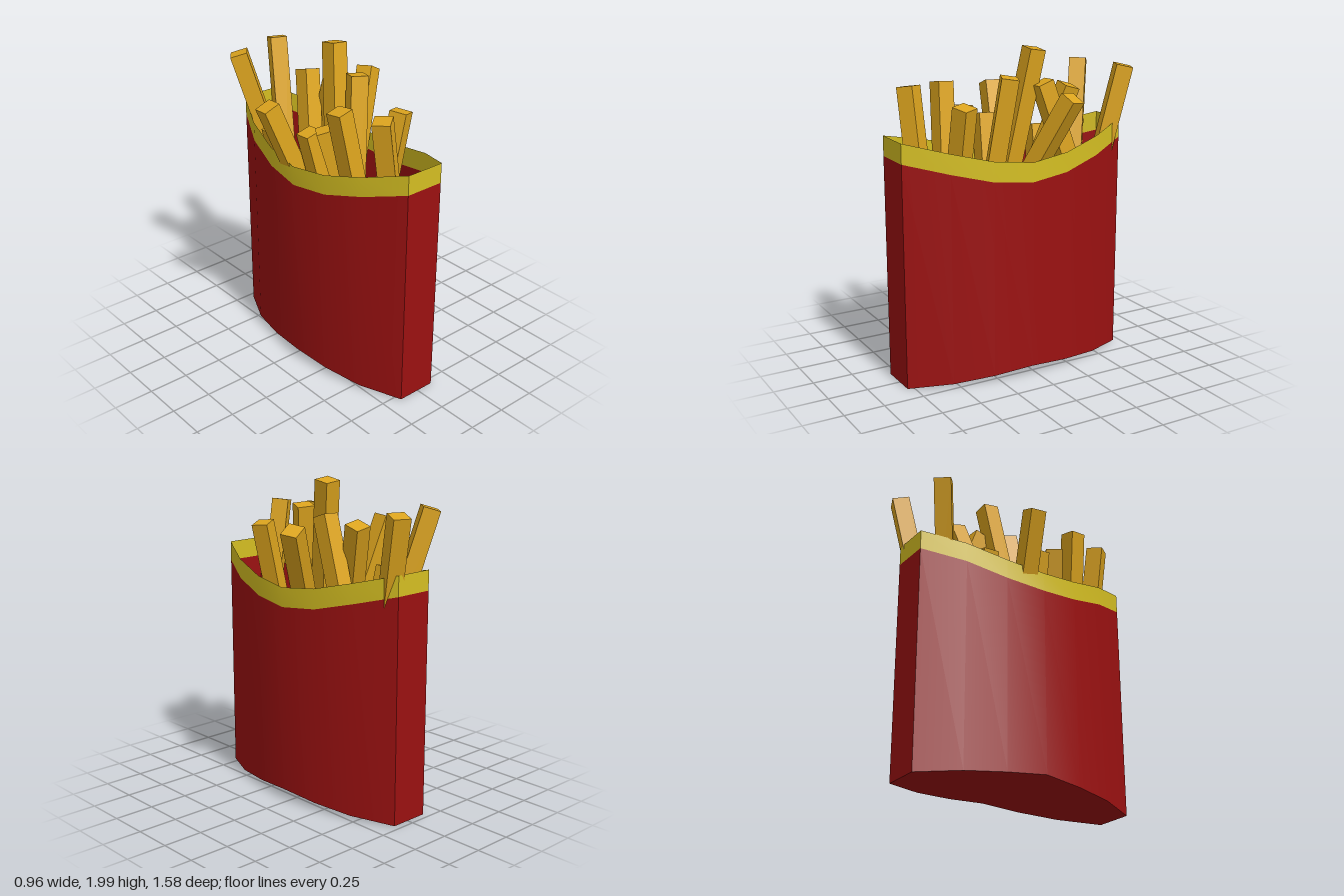
import * as THREE from 'three';
import { toCreasedNormals } from 'three/addons/utils/BufferGeometryUtils.js';

const CX = -0.012, CZ = 0.04; // centre of the carton in plan

// Stations along the carton: z offset, half width, heights of floor, band and rim
const half = [
  [0, 0.335, 0.065, 1.23, 1.35],
  [0.25, 0.307, 0.043, 1.255, 1.378],
  [0.5, 0.247, 0.022, 1.318, 1.44],
  [0.75, 0.125, 0, 1.383, 1.505],
];
const stations = [
  ...half.slice(1).reverse().map(([z, ...rest]) => [-z, ...rest]),
  ...half,
];
const ring = [
  ...stations.map(([z, w, ...y]) => ({ x: CX + w, z: CZ + z, y })),
  ...[...stations].reverse().map(([z, w, ...y]) => ({ x: CX - w, z: CZ + z, y })),
];

const material = (color, side = THREE.FrontSide) => new THREE.MeshStandardMaterial({ color, side });

function quadMesh(name, quads, mat) {
  const pos = [];
  for (const [a, b, c, d] of quads) pos.push(...a, ...b, ...c, ...a, ...c, ...d);
  const geo = new THREE.BufferGeometry();
  geo.setAttribute('position', new THREE.Float32BufferAttribute(pos, 3));
  geo.computeVertexNormals();
  const mesh = new THREE.Mesh(toCreasedNormals(geo, 0.6), mat);
  mesh.name = name;
  return mesh;
}

// Wall strip around the ring between two of its height levels
function wall(name, lo, hi, mat) {
  const at = (p, level) => [p.x, p.y[level], p.z];
  return quadMesh(name, ring.map((p, i) => {
    const q = ring[(i + 1) % ring.length];
    return [at(p, lo), at(p, hi), at(q, hi), at(q, lo)];
  }), mat);
}

// Fries: top centre, bottom centre, roll about the long axis
const fries = [
  [[0.13, 1.84, -0.72], [0.01, 0.55, -0.44], -0.4],
  [[-0.235, 1.84, -0.625], [-0.03, 0.95, -0.45], -0.65],
  [[-0.23, 1.45, -0.3], [-0.04, 0.6, -0.26], 0],
  [[0.08, 1.74, -0.35], [-0.08, 0.95, -0.1], 0],
  [[0.13, 1.78, -0.13], [0.17, 0.95, -0.42], 0],
  [[0.085, 1.98, -0.1], [-0.04, 0.85, 0.09], 0],
  [[-0.43, 1.71, -0.085], [-0.06, 0.75, 0], -0.05],
  [[0.415, 1.725, -0.165], [0.02, 0.9, 0.09], 0.3],
  [[0.11, 1.82, 0.08], [-0.03, 0.7, 0.21], -0.4],
  [[-0.25, 1.55, 0.065], [-0.04, 0.65, 0.12], 0],
  [[-0.24, 1.61, 0.2], [-0.03, 0.7, 0.34], -0.6],
  [[-0.255, 1.77, 0.345], [-0.06, 0.7, 0.42], 0.1],
  [[0.16, 1.68, 0.405], [-0.04, 0.8, 0.4], 0.42],
  [[-0.17, 1.775, 0.605], [0.03, 0.6, 0.58], 0.65],
];

function makeFry([top, bottom, roll], mat) {
  const a = new THREE.Vector3(...bottom), b = new THREE.Vector3(...top);
  const dir = b.clone().sub(a);
  const mesh = new THREE.Mesh(new THREE.BoxGeometry(0.105, dir.length(), 0.105), mat);
  mesh.position.copy(a).lerp(b, 0.5);
  mesh.quaternion.setFromUnitVectors(new THREE.Vector3(0, 1, 0), dir.normalize());
  mesh.rotateY(roll);
  mesh.name = 'fry';
  return mesh;
}

export function createModel() {
  const model = new THREE.Group();
  model.name = 'cartonOfFries';

  // Carton
  const red = material(0x9b1111, THREE.DoubleSide);
  const carton = new THREE.Group();
  carton.name = 'carton';
  carton.add(wall('cartonWall', 0, 1, red));
  carton.add(wall('rimBand', 1, 2, material(0xd4be22, THREE.DoubleSide)));

  // Arched floor, spanning from side to side
  const n = stations.length;
  const point = (i, s) => [CX + s * stations[i][1], stations[i][2], CZ + stations[i][0]];
  const floor = [];
  for (let i = 0; i < n - 1; i++) {
    floor.push([point(i, -1), point(i, 1), point(i + 1, 1), point(i + 1, -1)]);
  }
  carton.add(quadMesh('cartonFloor', floor, red));

  // Fries
  const gold = material(0xdca41e);
  const bunch = new THREE.Group();
  bunch.name = 'fries';
  for (const f of fries) bunch.add(makeFry(f, gold));

  model.add(carton, bunch);
  return model;
}
